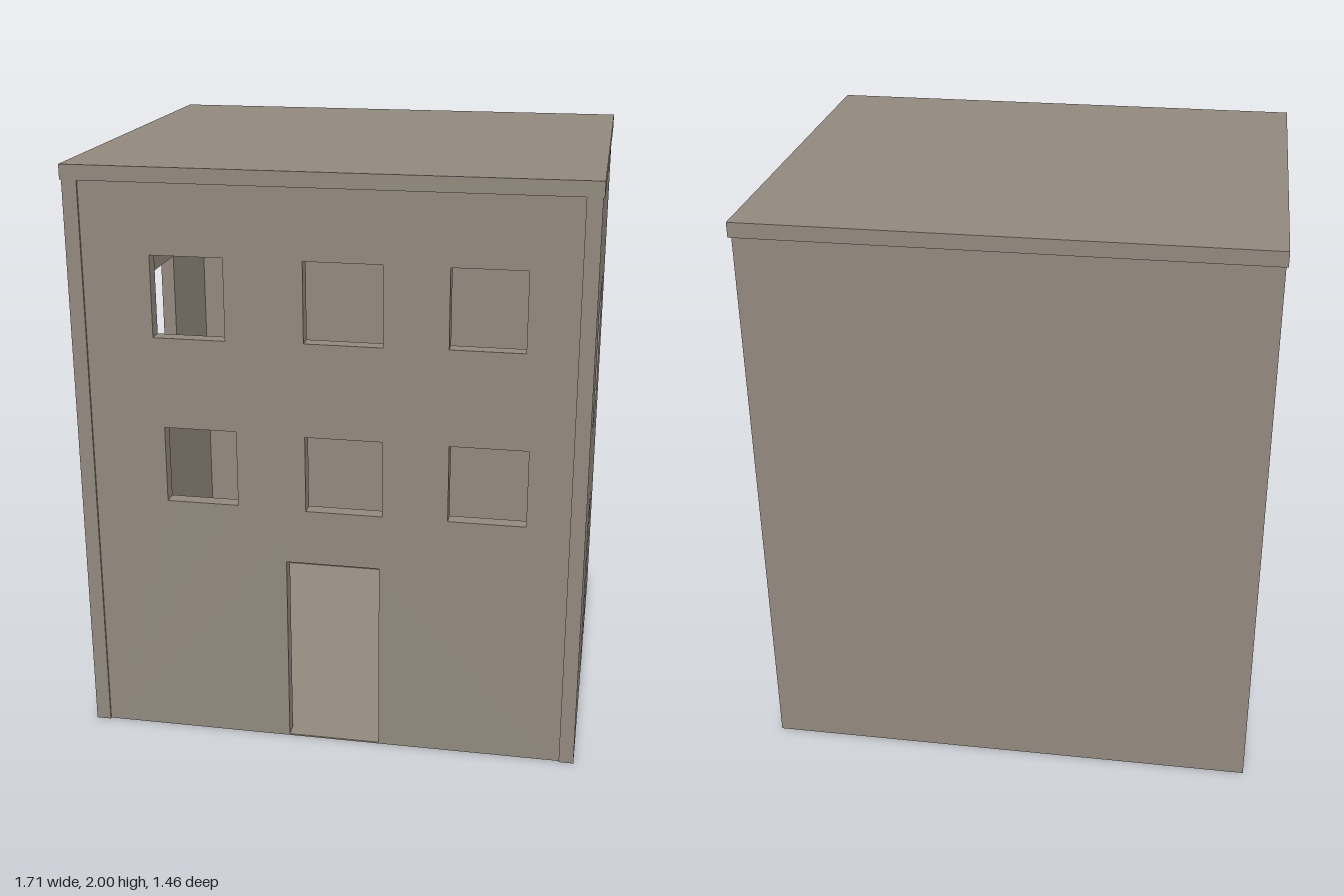
import * as THREE from 'three';

const T = 0.05; // wall thickness
const EAVES = 1.95; // top of the walls

// Upright wall panel from a to b, with an optional doorway notch [a, b, top]
// and window openings [a, b, bottom, top].
function wallGeometry(a, b, door, windows, depth) {
  const s = new THREE.Shape();
  s.moveTo(a, 0);
  if (door) {
    const [d0, d1, top] = door;
    s.lineTo(d0, 0);
    s.lineTo(d0, top);
    s.lineTo(d1, top);
    s.lineTo(d1, 0);
  }
  s.lineTo(b, 0);
  s.lineTo(b, EAVES);
  s.lineTo(a, EAVES);
  s.closePath();
  for (const [w0, w1, y0, y1] of windows) {
    const h = new THREE.Path();
    h.moveTo(w0, y0);
    h.lineTo(w0, y1);
    h.lineTo(w1, y1);
    h.lineTo(w1, y0);
    h.closePath();
    s.holes.push(h);
  }
  return new THREE.ExtrudeGeometry(s, { depth, bevelEnabled: false });
}

export function createModel() {
  const group = new THREE.Group();
  const stone = new THREE.MeshStandardMaterial({ color: 0x938a7e });
  stone.name = 'warm grey stone';

  const add = (name, geometry, x = 0, y = 0, z = 0) => {
    const mesh = new THREE.Mesh(geometry, stone);
    mesh.name = name;
    mesh.position.set(x, y, z);
    group.add(mesh);
    return mesh;
  };

  const X = 0.852, FRONT = 0.727, BACK = -0.705;

  // Front wall, set slightly back between the side walls
  const frontWindows = [
    [-0.575, -0.333, 1.44, 1.715],
    [-0.073, 0.185, 1.445, 1.715],
    [0.397, 0.64, 1.45, 1.715],
    [-0.55, -0.305, 0.867, 1.13],
    [-0.073, 0.185, 0.862, 1.125],
    [0.403, 0.66, 0.862, 1.125],
  ];
  add('frontWall', wallGeometry(-X + T, X - T, [-0.142, 0.175, 0.672], frontWindows, T), 0, 0, FRONT - T - 0.007);

  // Side walls, drawn along -z and turned to face sideways
  const sideWindow = [[-0.27, 0.24, 1.03, 1.48]];
  const left = add('leftWall', wallGeometry(-FRONT, -BACK, [-0.127, 0.177, 0.645], sideWindow, T), X - T);
  const right = add('rightWall', wallGeometry(-FRONT, -BACK, null, sideWindow, T), -X);
  left.rotation.y = right.rotation.y = Math.PI / 2;

  // Plain back wall
  add('backWall', wallGeometry(-X + T, X - T, null, [], T), 0, 0, BACK);

  // Thin floor, fitted inside the walls and across the doorways
  add('floor', new THREE.BoxGeometry(2 * X, 0.005, FRONT - BACK - 0.007), 0, 0.0025, (FRONT + BACK - 0.007) / 2);

  // Flat roof slab, overhanging mostly at the back
  add('roof', new THREE.BoxGeometry(1.714, 0.05, 1.455), -0.001, 1.975, 0);

  return group;
}
